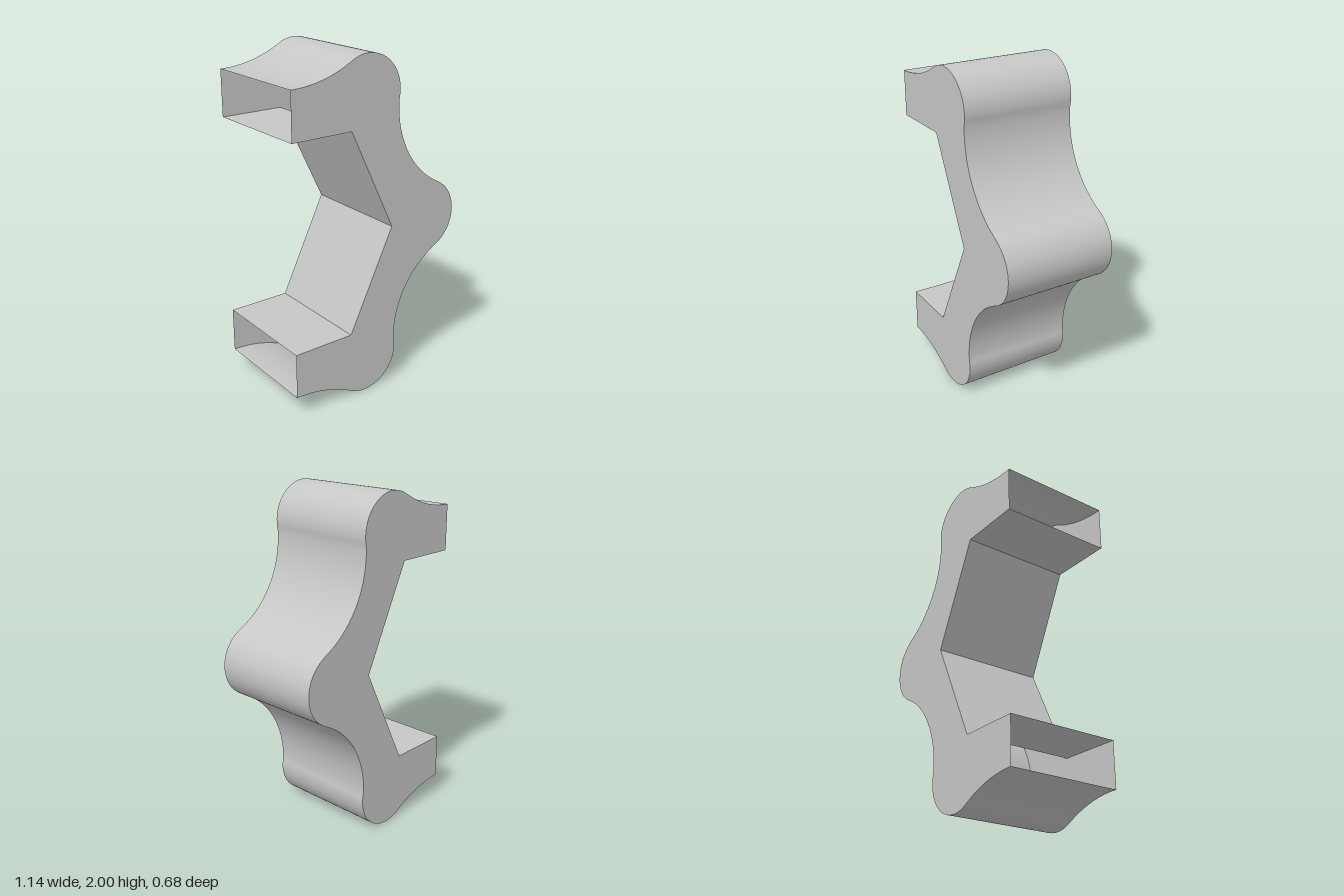
import * as THREE from 'three';

const HALF_DEPTH = 0.34;
const END_X = -0.57;

// Points along an arc, angles in radians
function arc(cx, cy, r, a0, a1, n) {
  return Array.from({ length: n + 1 }, (_, i) => {
    const a = a0 + (a1 - a0) * i / n;
    return new THREE.Vector2(cx + r * Math.cos(a), cy + r * Math.sin(a));
  });
}

// Sweep an open outline through the depth; clockwise outlines face outward
function wall(points, smooth) {
  let geo = new THREE.PlaneGeometry(1, 1, points.length - 1, 1);
  const pos = geo.attributes.position;
  for (let i = 0; i < pos.count; i++) {
    const p = points[i % points.length];
    pos.setXYZ(i, p.x, p.y, i < points.length ? -HALF_DEPTH : HALF_DEPTH);
  }
  if (!smooth) geo = geo.toNonIndexed();
  geo.computeVertexNormals();
  return geo;
}

export function createModel() {
  const group = new THREE.Group();
  group.name = 'bracketShell';
  const grey = new THREE.MeshStandardMaterial({ color: 0xc6c6c6, side: THREE.DoubleSide });
  grey.name = 'plain grey';

  const add = (name, geo) => {
    const mesh = new THREE.Mesh(geo, grey);
    mesh.name = name;
    group.add(mesh);
    return mesh;
  };

  // Upper half of the outer outline: tangent arcs from the open end to the tip
  const flare = Math.atan2(-0.858, 0.49);
  const neck = Math.atan2(-0.08, 0.77);
  const waist = Math.atan2(0.70, 0.34);
  const upper = [
    ...arc(END_X, 2.638, 0.768, -Math.PI / 2, flare, 16),
    ...arc(-0.08, 1.78, 0.22, flare + Math.PI, neck, 28).slice(1),
    ...arc(0.69, 1.70, 0.557, neck + Math.PI, waist + Math.PI, 24).slice(1),
    ...arc(0.35, 1.0, 0.22, waist, 0, 16).slice(1),
  ];
  // Mirror it for the lower half
  const lower = upper.slice(0, -1).reverse().map(p => new THREE.Vector2(p.x, 2 - p.y));
  const outer = [...upper, ...lower];

  // Angular inner outline
  const inner = [[END_X, 0.4], [-0.19, 0.4], [0.1, 1], [-0.19, 1.6], [END_X, 1.6]]
    .map(([x, y]) => new THREE.Vector2(x, y));

  add('outerWall', wall(outer, true));
  add('innerWall', wall(inner, false));

  // Flat side plates; the two ends at the left stay open
  const plate = new THREE.ShapeGeometry(new THREE.Shape([...outer, ...inner]));
  add('frontPlate', plate).position.z = HALF_DEPTH;
  const backPlate = plate.clone();
  const index = backPlate.index;
  for (let i = 0; i < index.count; i += 3) {
    const a = index.getX(i);
    index.setX(i, index.getX(i + 2));
    index.setX(i + 2, a);
  }
  backPlate.computeVertexNormals();
  add('backPlate', backPlate).position.z = -HALF_DEPTH;

  return group;
}
